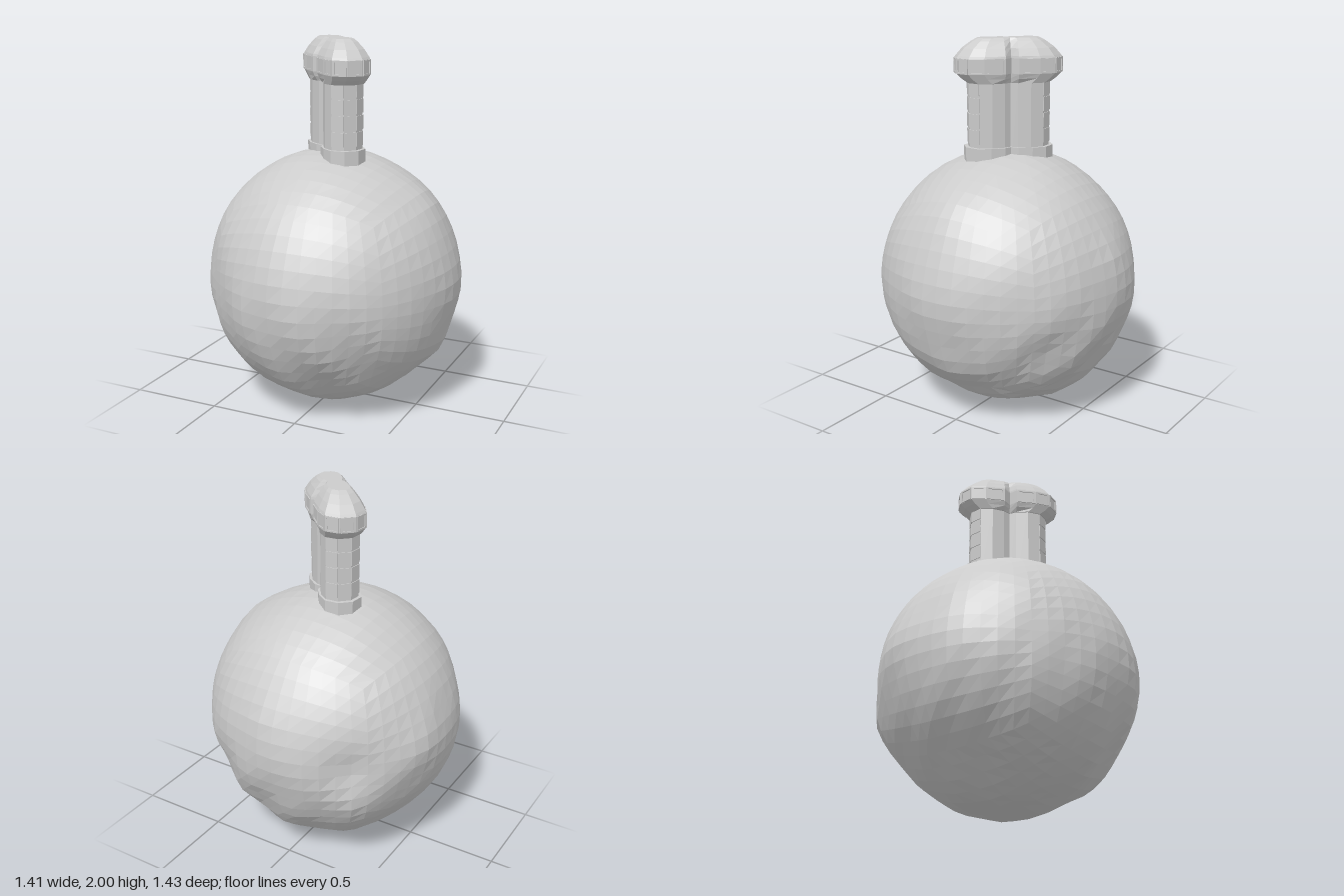
import * as THREE from 'three';

const stone = new THREE.MeshStandardMaterial({ color: 0xcccccc, flatShading: true });

function addMesh(parent, geometry, name) {
  const mesh = new THREE.Mesh(geometry, stone);
  mesh.name = name;
  parent.add(mesh);
  return mesh;
}

// Bumps (+) and dents (-): direction, angular size, height
const LUMPS = [
  [[-0.5, -0.3, -0.65], 0.16, 0.03], [[-0.55, 0, -0.75], 0.16, -0.03], [[-0.15, 0.05, -1], 0.25, 0.015],
  [[-0.65, -0.75, 0.1], 0.35, -0.025], [[0.55, -0.85, 0.1], 0.2, -0.025], [[0.75, 0.65, 0], 0.22, 0.018],
  [[-0.95, 0.05, -0.3], 0.2, 0.02], [[0.1, -0.4, -0.9], 0.15, -0.012], [[0.3, -0.6, 0.7], 0.2, -0.02],
  [[0.05, 0.3, -0.95], 0.15, 0.012], [[0.6, -0.3, -0.7], 0.18, -0.015], [[0, -0.83, -0.55], 0.2, 0.012],
  [[-0.7, 0, 0.7], 0.4, -0.025], [[-0.35, -0.85, 0.35], 0.3, -0.015], [[1, 0, 0], 0.3, 0.012],
  [[0, -0.05, 1], 0.35, 0.018], [[0.1, 1, 0.15], 0.2, -0.01], [[-0.95, 0.3, 0], 0.15, -0.012],
].map(([d, size, height]) => [new THREE.Vector3(...d).normalize(), size, height]);

// Boulder: an evenly subdivided cube pushed out to a lumpy sphere, rougher low down
function boulderGeometry() {
  const geo = new THREE.BoxGeometry(2, 2, 2, 13, 13, 13);
  const pos = geo.attributes.position;
  const p = new THREE.Vector3();
  const even = (t) => Math.tan(t * Math.PI / 4);
  for (let i = 0; i < pos.count; i++) {
    p.fromBufferAttribute(pos, i);
    p.set(even(p.x), even(p.y), even(p.z)).normalize();
    const rough = THREE.MathUtils.lerp(0.006, 0.001, THREE.MathUtils.smoothstep(p.y, -0.4, 0.4));
    let r = 0.7 + 0.003 * Math.sin(5 * p.x + 2 * p.z) * Math.cos(4 * p.y + 3 * p.z);
    r += rough * (Math.sin(13 * p.x + 7 * p.y) + Math.sin(12 * p.z - 9 * p.y + 1) * Math.cos(11 * p.x + 5 * p.z));
    for (const [dir, size, height] of LUMPS) {
      const a = p.angleTo(dir) / size;
      r += height * Math.exp(-a * a);
    }
    p.multiplyScalar(r);
    pos.setXYZ(i, p.x, p.y + 0.703, p.z);
  }
  return geo;
}

// Plan of the tower: two rounded lobes at x = +-c with a notch between them
const END = THREE.MathUtils.degToRad(100);
const ARC = 6;
function outline({ c, r, notch, side, w = 0.035 }) {
  const half = [[w, side]];
  for (let i = 0; i < ARC; i++) {
    const a = -END + (2 * END * i) / (ARC - 1);
    half.push([c + r * Math.cos(a), -r * Math.sin(a)]);
  }
  half.push([w, -side], [0, -notch]);
  return [...half, ...half.map(([x, z]) => [-x, -z])];
}

// Skin stacked plans, closing both ends
function loft(sections) {
  const rings = sections.map((s) => outline(s).map(([x, z]) => [x, s.y, z]));
  const out = [];
  const n = rings[0].length;
  for (let k = 0; k < rings.length - 1; k++) {
    for (let i = 0; i < n; i++) {
      const j = (i + 1) % n;
      const [a, b, c, d] = [rings[k][i], rings[k][j], rings[k + 1][j], rings[k + 1][i]];
      out.push(...a, ...b, ...c, ...a, ...c, ...d);
    }
  }
  const low = rings[0], high = rings[rings.length - 1];
  for (let i = 0; i < n; i++) {
    const j = (i + 1) % n;
    out.push(0, low[0][1], 0, ...low[j], ...low[i]);
    out.push(0, high[0][1], 0, ...high[i], ...high[j]);
  }
  const geo = new THREE.BufferGeometry();
  geo.setAttribute('position', new THREE.Float32BufferAttribute(out, 3));
  geo.computeVertexNormals();
  return geo;
}

// Rectangular window surround with an opening
function frameGeometry(width, height, border, depth) {
  const rect = (path, w, h) => path.moveTo(-w, -h).lineTo(w, -h).lineTo(w, h).lineTo(-w, h).closePath();
  const shape = rect(new THREE.Shape(), width / 2, height / 2);
  shape.holes.push(rect(new THREE.Path(), width / 2 - border, height / 2 - border));
  return new THREE.ExtrudeGeometry(shape, { depth, bevelEnabled: false });
}

// Lay a part along one edge of a plan, its +z facing outward
function placeOnEdge(mesh, [ax, az], [bx, bz], y) {
  mesh.position.set((ax + bx) / 2, y, (az + bz) / 2);
  mesh.rotation.y = Math.atan2(az - bz, bx - ax);
}

const edgeLength = ([ax, az], [bx, bz]) => Math.hypot(bx - ax, bz - az);

function createTower() {
  const tower = new THREE.Group();
  tower.name = 'tower';
  const base = { c: 0.13, r: 0.112, notch: 0.075, side: 0.1 };
  const shaft = { c: 0.12, r: 0.1, notch: 0.062, side: 0.085 };
  const band = { c: 0.168, r: 0.12, notch: 0.08, side: 0.118 };

  addMesh(tower, loft([{ ...base, y: 1.3 }, { ...base, y: 1.43 }]), 'towerBase');
  addMesh(tower, loft([{ ...shaft, y: 1.3 }, { ...shaft, y: 1.79 }]), 'towerShaft');
  addMesh(tower, loft([
    { c: 0.122, r: 0.106, notch: 0.065, side: 0.09, y: 1.77 },
    { c: 0.15, r: 0.112, notch: 0.074, side: 0.108, y: 1.795 },
    { ...band, y: 1.82 },
    { ...band, y: 1.9 },
    { c: 0.163, r: 0.116, notch: 0.077, side: 0.115, y: 1.912 },
    { c: 0.15, r: 0.095, notch: 0.062, side: 0.094, y: 1.95 },
    { c: 0.125, r: 0.07, notch: 0.048, side: 0.066, y: 1.985 },
    { c: 0.11, r: 0.055, notch: 0.038, side: 0.05, y: 2 },
  ]), 'towerHead');

  const bandPlan = outline(band);
  const shaftPlan = outline(shaft);
  for (const start of [0, ARC + 3]) {
    // Windows on every face of the head
    for (let i = start; i <= start + ARC; i++) {
      const a = bandPlan[i], b = bandPlan[i + 1];
      const frame = addMesh(tower, frameGeometry(edgeLength(a, b) * 0.9, 0.078, 0.009, 0.005), 'windowFrame');
      placeOnEdge(frame, a, b, 1.86);
    }
    // Tiers of thin cladding panels around the tip of each lobe
    for (const y of [1.487, 1.572, 1.657, 1.742]) {
      for (let i = start + 2; i < start + ARC - 1; i++) {
        const a = shaftPlan[i], b = shaftPlan[i + 1];
        const panel = addMesh(tower, new THREE.BoxGeometry(edgeLength(a, b), 0.074, 0.008), 'shaftPanel');
        placeOnEdge(panel, a, b, y);
      }
    }
  }
  tower.rotation.y = -Math.PI / 4;
  tower.position.set(0.007, 0, -0.004);
  return tower;
}

export function createModel() {
  const model = new THREE.Group();
  model.name = 'boulderWithTower';
  addMesh(model, boulderGeometry(), 'boulder');
  model.add(createTower());
  return model;
}
